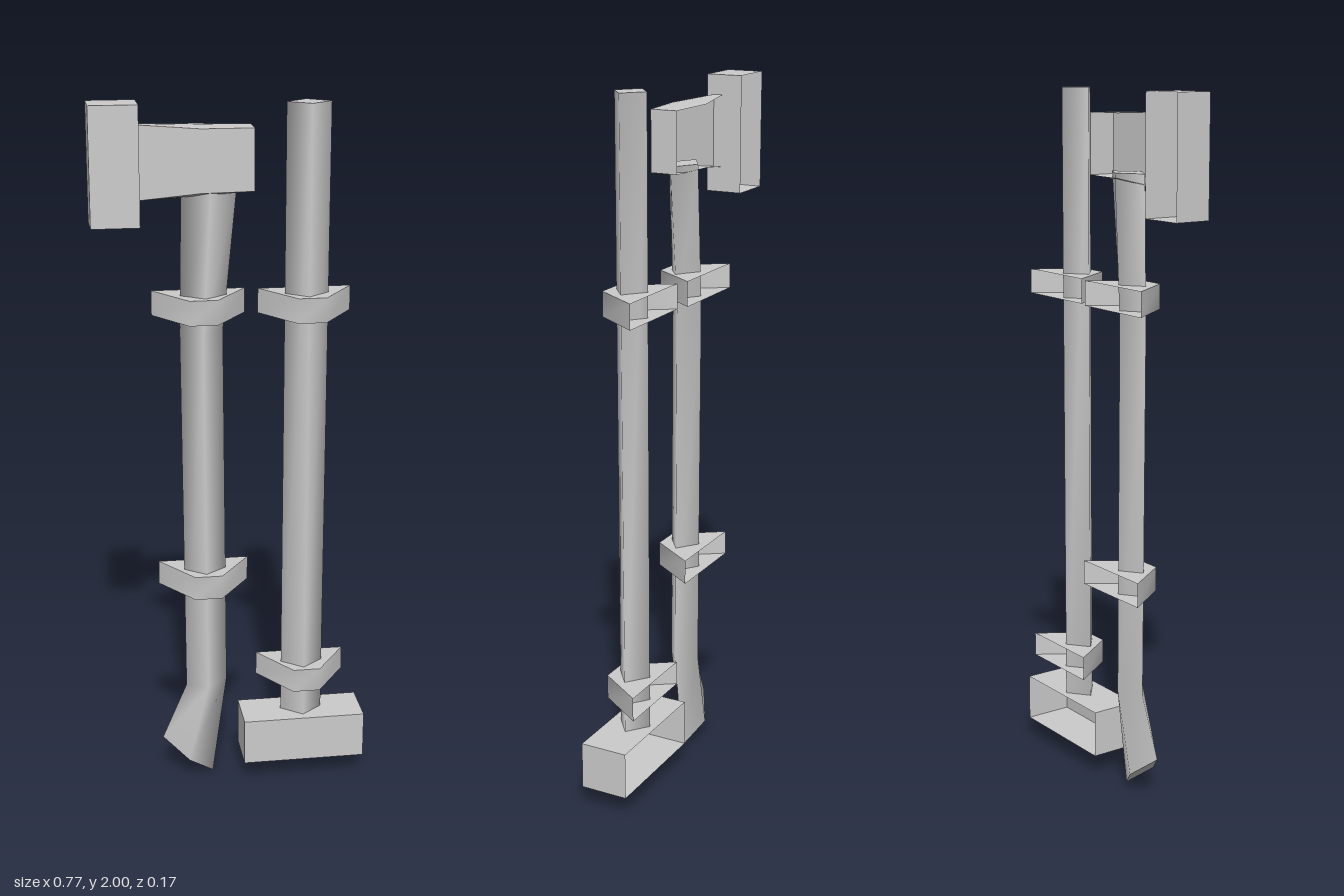
import * as THREE from 'three';
import { mergeGeometries } from 'three/addons/utils/BufferGeometryUtils.js';

const material = new THREE.MeshStandardMaterial({ color: 0xcccccc, side: THREE.DoubleSide });

function toGeometry(points, index) {
  const g = new THREE.BufferGeometry();
  g.setAttribute('position', new THREE.Float32BufferAttribute(points.flat(), 3));
  g.setIndex(index);
  return g;
}

// Lofts rings (bottom to top, counterclockwise from above) and adds flat end caps.
// Only the first `walls` sides of each ring are built, the rest stay open.
function loft(name, rings, walls, smooth) {
  const n = rings[0].length;
  const index = [];
  for (let r = 0; r < rings.length - 1; r++) {
    for (let i = 0; i < walls; i++) {
      const a = r * n + i, b = r * n + (i + 1) % n;
      index.push(a, b, b + n, a, b + n, a + n);
    }
  }
  let sides = toGeometry(rings.flat(), index);
  if (smooth) sides.computeVertexNormals();
  sides = sides.toNonIndexed();
  if (!smooth) sides.computeVertexNormals();

  const cap = (ring, up) => {
    const tris = [];
    for (let i = 1; i < n - 1; i++) tris.push(0, up ? i : i + 1, up ? i + 1 : i);
    const g = toGeometry(ring, tris).toNonIndexed();
    g.computeVertexNormals();
    return g;
  };
  const mesh = new THREE.Mesh(
    mergeGeometries([sides, cap(rings[0], false), cap(rings.at(-1), true)]), material);
  mesh.name = name;
  return mesh;
}

// Box without a back face
function openBox(name, x0, x1, y0, y1, z0, z1) {
  const ring = y => [[x0, y, z0], [x0, y, z1], [x1, y, z1], [x1, y, z0]];
  return loft(name, [ring(y0), ring(y1)], 3, false);
}

// Trapezoid wall bracket, wide and open at the back
function bracket(name, x, y, zBack, zFront) {
  const ring = h => [[x - 0.131, h, zBack], [x - 0.039, h, zFront],
    [x + 0.039, h, zFront], [x + 0.131, h, zBack]];
  return loft(name, [ring(y), ring(y + 0.07)], 3, true);
}

// Four-sided handle section given by its left and right corners
function diamond(xl, yl, xr, yr, z, depth) {
  const x = (xl + xr) / 2, y = (yl + yr) / 2;
  return [[xl, yl, z], [x, y, z + depth], [xr, yr, z], [x, y, z - depth]];
}

export function createModel() {
  const model = new THREE.Group();

  // Axe
  const axe = new THREE.Group();
  axe.name = 'axe';
  const az = -0.003, ad = 0.045;
  axe.add(loft('axeHandle', [
    diamond(-0.21, 0.125, -0.06, 0, az, 0.042),
    diamond(-0.138, 0.295, -0.018, 0.31, az, ad),
    diamond(-0.147, 1.38, -0.027, 1.38, az, ad),
    diamond(-0.14, 1.78, 0.012, 1.78, az, ad),
  ], 4, true));

  // Axe head: x, z, bottom and top of each corner, open at the back
  const corners = [
    [-0.252, 0, 1.745, 1.945], [-0.09, 0.045, 1.768, 1.938], [0.055, 0.033, 1.768, 1.936],
    [0.055, -0.045, 1.768, 1.936], [-0.09, -0.057, 1.768, 1.938], [-0.252, -0.027, 1.745, 1.945],
  ];
  axe.add(loft('axeHead', [
    corners.map(([x, z, y]) => [x, y, z]),
    corners.map(([x, z, , y]) => [x, y, z]),
  ], 3, false));
  axe.add(openBox('axeBlade', -0.385, -0.252, 1.675, 2, -0.085, 0.02));
  axe.add(bracket('axeUpperBracket', -0.087, 1.41, -0.073, 0.06));
  axe.add(bracket('axeLowerBracket', -0.077, 0.597, -0.073, 0.06));

  // Sledgehammer
  const hammer = new THREE.Group();
  hammer.name = 'sledgehammer';
  const section = y => diamond(0.143, y, 0.265, y, 0.01, 0.048);
  hammer.add(loft('hammerHandle', [section(0.19), section(2)], 4, true));
  hammer.add(openBox('hammerHead', 0.024, 0.383, 0.065, 0.202, -0.057, 0.083));
  hammer.add(bracket('hammerUpperBracket', 0.21, 1.41, -0.06, 0.075));
  hammer.add(bracket('hammerLowerBracket', 0.21, 0.288, -0.06, 0.075));

  model.add(axe, hammer);
  return model;
}
